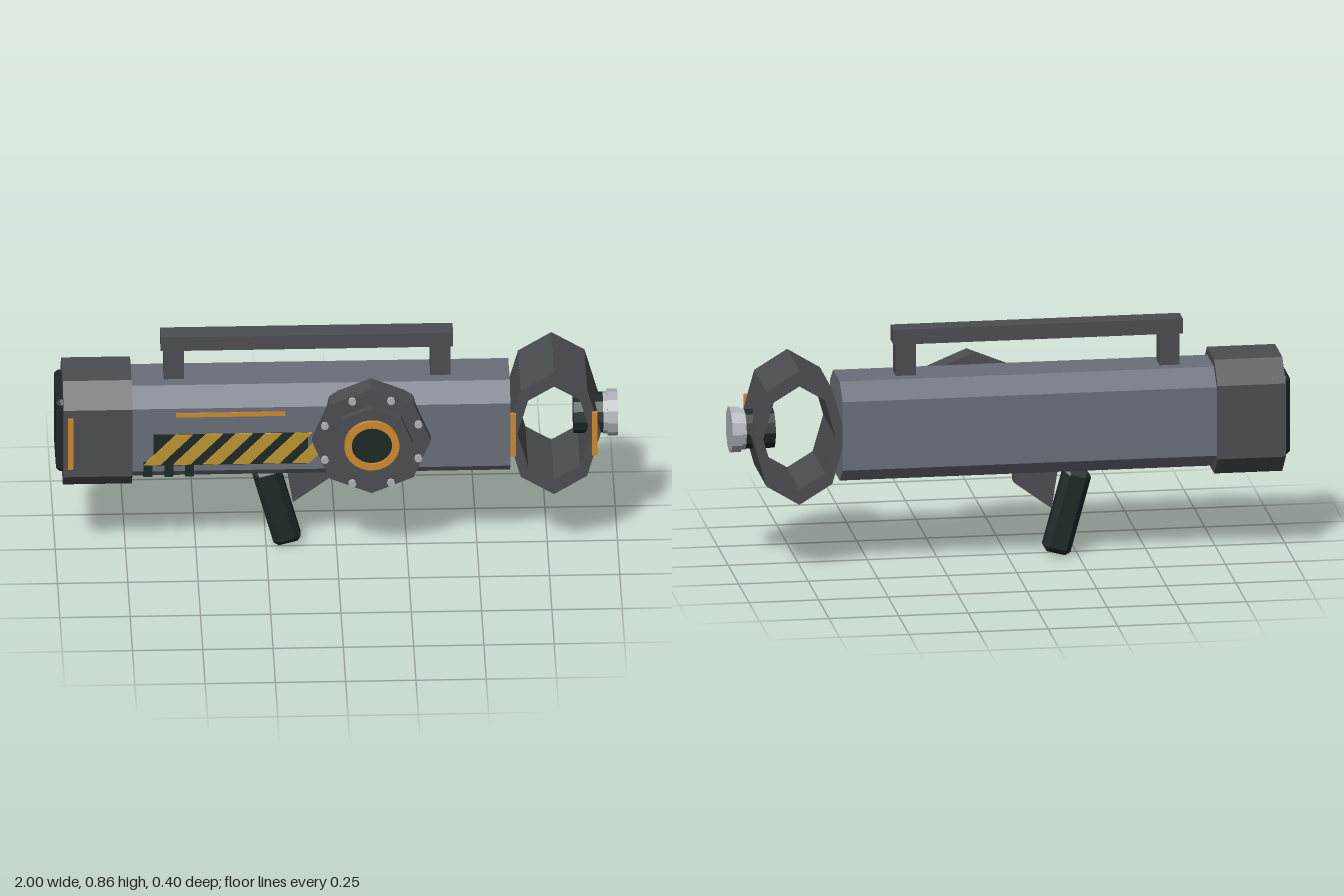
import * as THREE from 'three';

const material = (name, color) => {
  const m = new THREE.MeshStandardMaterial({ color, flatShading: true });
  m.name = name;
  return m;
};

export function createModel() {
  const steel = material('body steel', 0x6a6f79);
  const frame = material('dark frame', 0x4b4e51);
  const rubber = material('black rubber', 0x1c2928);
  const orange = material('orange trim', 0xd08a2c);
  const yellow = material('hazard yellow', 0xbc9631);
  const silver = material('light metal', 0xaeb2b8);

  const model = new THREE.Group();
  const midY = 0.517, midZ = -0.025;

  const add = (name, geometry, mat, x = 0, y = 0, z = 0) => {
    const mesh = new THREE.Mesh(geometry, mat);
    mesh.name = name;
    mesh.position.set(x, y, z);
    model.add(mesh);
    return mesh;
  };
  // box from its minimum and maximum corners
  const box = (name, mat, x0, x1, y0, y1, z0, z1) =>
    add(name, new THREE.BoxGeometry(x1 - x0, y1 - y0, z1 - z0), mat,
      (x0 + x1) / 2, (y0 + y1) / 2, (z0 + z1) / 2);
  const polygon = (points) => new THREE.Shape(points.map((p) => new THREE.Vector2(...p)));
  const extrude = (shape, depth) =>
    new THREE.ExtrudeGeometry(shape, { depth, bevelEnabled: false });
  // rectangle with cut corners
  const cutRect = (w, h, cx, cy) => polygon([
    [w / 2, -h / 2 + cy], [w / 2, h / 2 - cy], [w / 2 - cx, h / 2], [-w / 2 + cx, h / 2],
    [-w / 2, h / 2 - cy], [-w / 2, -h / 2 + cy], [-w / 2 + cx, -h / 2], [w / 2 - cx, -h / 2],
  ]);
  // cut-corner prism running along x
  const prismX = (name, mat, x0, x1, w, h, cx, cy) =>
    add(name, extrude(cutRect(w, h, cx, cy), x1 - x0).rotateY(Math.PI / 2), mat, x0, midY, midZ);
  const octagon = (rx, ry) => Array.from({ length: 8 }, (_, i) =>
    [rx * Math.cos(i * Math.PI / 4), ry * Math.sin(i * Math.PI / 4)]);
  const cylX = (name, mat, x0, x1, r, sides) =>
    add(name, new THREE.CylinderGeometry(r, r, x1 - x0, sides).rotateZ(-Math.PI / 2), mat,
      (x0 + x1) / 2, midY, midZ);
  // block chamfered on every edge
  const chamferBox = (w, h, d, c) => {
    const g = new THREE.ExtrudeGeometry(cutRect(w - 2 * c, h - 2 * c, 0.004, 0.004),
      { depth: d - 2 * c, bevelSize: c, bevelThickness: c, bevelSegments: 1 });
    return g.translate(0, 0, c - d / 2);
  };

  // Barrel, rear block and end plate
  prismX('barrel', steel, -0.74, 0.615, 0.305, 0.365, 0.073, 0.056);
  prismX('rearBlock', frame, -0.975, -0.73, 0.34, 0.42, 0.083, 0.075);
  add('endPlate', chamferBox(0.06, 0.29, 0.25, 0.015), rubber, -0.97, 0.52, midZ);
  box('rearTrim', orange, -0.96, -0.94, 0.415, 0.62, 0.138, 0.15);

  // Carry handle
  box('handleBar', frame, -0.625, 0.415, 0.815, 0.87, -0.062, 0.013);
  for (const x of [-0.578, 0.37])
    box('handlePost', frame, x - 0.036, x + 0.036, 0.69, 0.816, -0.06, 0.011);

  // Muzzle ring, open from front to back
  const ringShape = polygon(octagon(0.167, 0.247));
  ringShape.holes.push(new THREE.Path(
    octagon(0.13, 0.19).reverse().map((p) => new THREE.Vector2(...p))));
  add('muzzleRing', extrude(ringShape, 0.297), frame, 0.77, midY, -0.173);
  for (const x of [0.625, 0.915])
    box('ringTrim', orange, x - 0.01, x + 0.01, 0.43, 0.603, 0.12, 0.134);

  // Muzzle knob
  cylX('knobShaft', rubber, 0.843, 0.95, 0.073, 12);
  cylX('knobCollar', silver, 0.948, 0.966, 0.076, 12);
  cylX('knobCap', silver, 0.964, 1, 0.084, 12);

  // Side dial with rivets
  const dialX = 0.12, dialY = 0.518;
  add('dialBase', extrude(polygon(octagon(0.211, 0.211)), 0.082), frame, dialX, dialY, 0.08);
  add('dialStep', extrude(polygon(octagon(0.147, 0.147)), 0.025), frame, dialX, dialY, 0.16);
  const trim = new THREE.Shape().absarc(0, 0, 0.098, 0, Math.PI * 2);
  trim.holes.push(new THREE.Path().absarc(0, 0, 0.072, 0, Math.PI * 2, true));
  add('dialTrim', new THREE.ExtrudeGeometry(trim,
    { depth: 0.017, bevelEnabled: false, curveSegments: 20 }), orange, dialX, dialY, 0.183);
  add('dialLens', new THREE.CylinderGeometry(0.074, 0.074, 0.008, 20).rotateX(Math.PI / 2),
    rubber, dialX, dialY, 0.188);
  for (let i = 0; i < 8; i++) {
    const a = (i + 0.5) * Math.PI / 4;
    add('dialRivet', new THREE.CylinderGeometry(0.014, 0.014, 0.016, 8).rotateX(Math.PI / 2),
      silver, dialX + 0.18 * Math.cos(a), dialY + 0.18 * Math.sin(a), 0.167);
  }

  // Hazard panel, stripes, trim line and small teeth
  box('hazardPanel', rubber, -0.655, -0.105, 0.415, 0.54, 0.12, 0.13);
  for (let i = 0; i < 6; i++)
    add('hazardStripe', extrude(polygon([[0, 0], [0.06, 0], [0.175, 0.12], [0.115, 0.12]]), 0.009),
      yellow, -0.69 + i * 0.106, 0.42, 0.127);
  box('trimLine', orange, -0.575, -0.185, 0.61, 0.626, 0.122, 0.132);
  for (const x of [-0.675, -0.6, -0.527])
    box('tooth', rubber, x - 0.016, x + 0.016, 0.37, 0.43, 0.09, 0.132);

  // Grip and trigger guard
  const grip = add('grip', chamferBox(0.1, 0.315, 0.083, 0.02), rubber, -0.212, 0.17, midZ);
  grip.rotation.z = 0.265;
  add('triggerGuard', extrude(polygon(
    [[-0.155, 0.185], [-0.02, 0.285], [-0.02, 0.345], [-0.18, 0.345]]), 0.05),
    frame, 0, 0, -0.05);

  return model;
}
